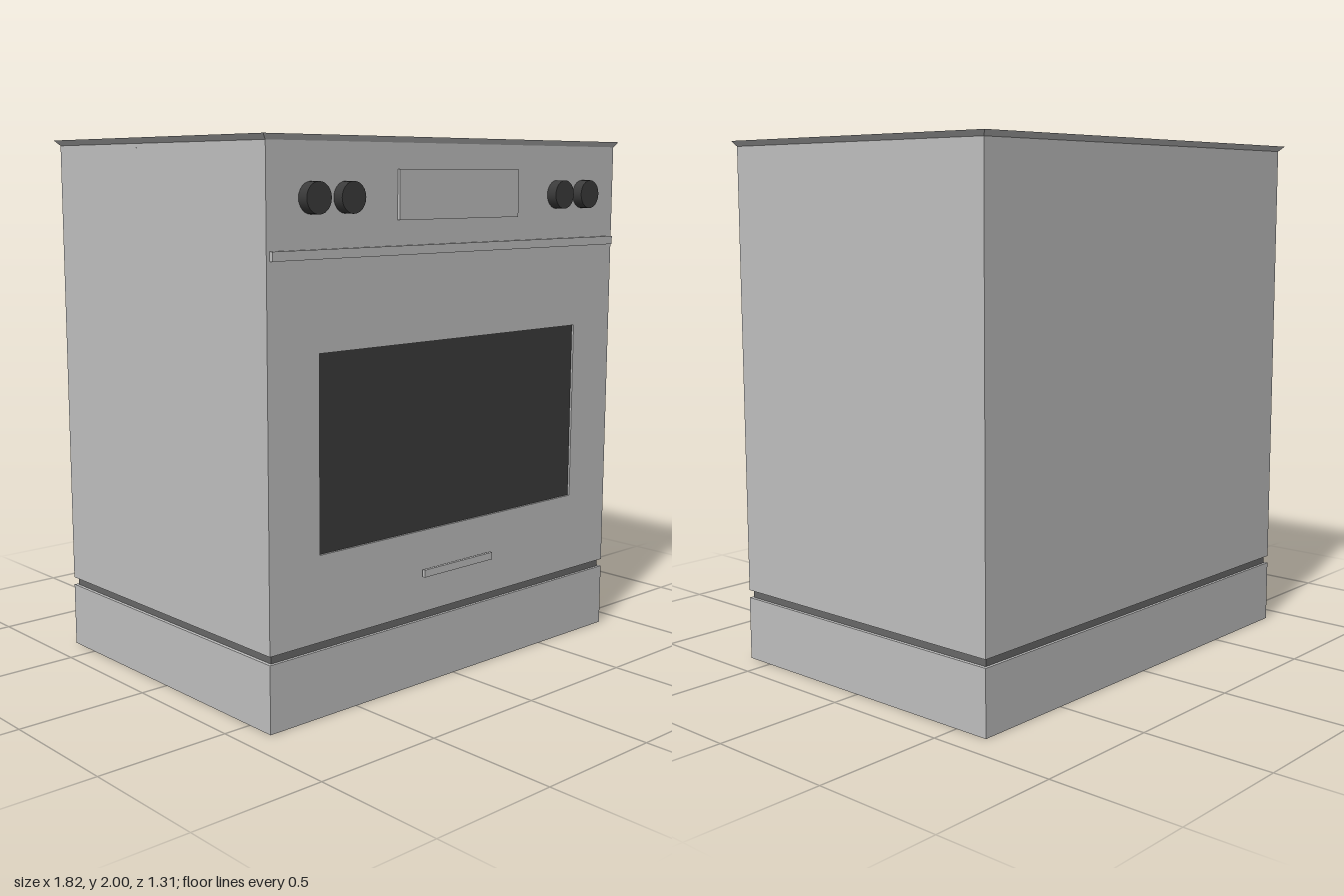
import * as THREE from 'three';

const mat = (name, color) => Object.assign(new THREE.MeshStandardMaterial({ color }), { name });

export function createModel() {
  const group = new THREE.Group();
  const enamel = mat('light grey enamel', 0xbfbfbf);
  const dark = mat('dark iron', 0x3b3b3b);
  const shade = mat('groove grey', 0x686868);

  const add = (name, geometry, material) => {
    const mesh = new THREE.Mesh(geometry, material);
    mesh.name = name;
    group.add(mesh);
    return mesh;
  };
  // Box given by its limits on each axis
  const box = (name, material, x0, x1, y0, y1, z0, z1) => {
    const mesh = add(name, new THREE.BoxGeometry(x1 - x0, y1 - y0, z1 - z0), material);
    mesh.position.set((x0 + x1) / 2, (y0 + y1) / 2, (z0 + z1) / 2);
  };

  // Plinth, shadow groove and cabinet
  box('plinth', enamel, -0.893, 0.893, 0, 0.245, -0.636, 0.614);
  box('groove', shade, -0.88, 0.88, 0.245, 0.275, -0.625, 0.603);
  box('cabinet', enamel, -0.893, 0.893, 0.275, 1.965, -0.636, 0.6);

  // Front panel with an opening for the oven window
  const rect = (path, x, y0, y1) =>
    path.moveTo(-x, y0).lineTo(x, y0).lineTo(x, y1).lineTo(-x, y1).closePath();
  const panel = rect(new THREE.Shape(), 0.893, 0.275, 1.965);
  panel.holes.push(rect(new THREE.Path(), 0.67, 0.585, 1.28));
  add('frontPanel', new THREE.ExtrudeGeometry(panel, { depth: 0.014, bevelEnabled: false }), enamel)
    .position.z = 0.6;
  box('ovenWindow', dark, -0.67, 0.67, 0.585, 1.28, 0.6, 0.606);

  // Flared hob rim: rectangles [half width, back z, front z, y] joined in turn
  const rings = [
    [0.893, -0.636, 0.614, 1.965],
    [0.893, -0.636, 0.614, 1.98],
    [0.91, -0.656, 0.625, 2],
    [0.857, -0.621, 0.585, 2],
    [0.857, -0.621, 0.585, 1.965],
  ].map(([x, zb, zf, y]) => [[x, y, zf], [x, y, zb], [-x, y, zb], [-x, y, zf]]);
  const points = [];
  for (let r = 0; r < rings.length - 1; r++) {
    for (let i = 0; i < 4; i++) {
      const j = (i + 1) % 4, a = rings[r], b = rings[r + 1];
      points.push(...a[i], ...a[j], ...b[j], ...a[i], ...b[j], ...b[i]);
    }
  }
  const rim = new THREE.BufferGeometry();
  rim.setAttribute('position', new THREE.Float32BufferAttribute(points, 3));
  rim.computeVertexNormals();
  add('hobRim', rim, enamel);

  // Three hot plates
  for (const [x, z, r] of [[-0.476, 0.229, 0.238], [0.47, 0.229, 0.238], [0, -0.3, 0.195]]) {
    add('hotPlate', new THREE.CylinderGeometry(r, r, 0.027, 32), dark).position.set(x, 1.978, z);
  }

  // Control panel, trim strip and drawer handle
  box('controlPanel', enamel, -0.31, 0.31, 1.715, 1.89, 0.61, 0.625);
  box('trimStrip', enamel, -0.88, 0.88, 1.595, 1.627, 0.61, 0.63);
  box('drawerHandle', enamel, -0.185, 0.18, 0.415, 0.443, 0.628, 0.64);

  // Four knobs
  for (const x of [-0.704, -0.551, 0.544, 0.697]) {
    const knob = add('knob', new THREE.CylinderGeometry(0.054, 0.054, 0.046, 24), dark);
    knob.rotation.x = Math.PI / 2;
    knob.position.set(x, 1.796, 0.633);
  }
  return group;
}
